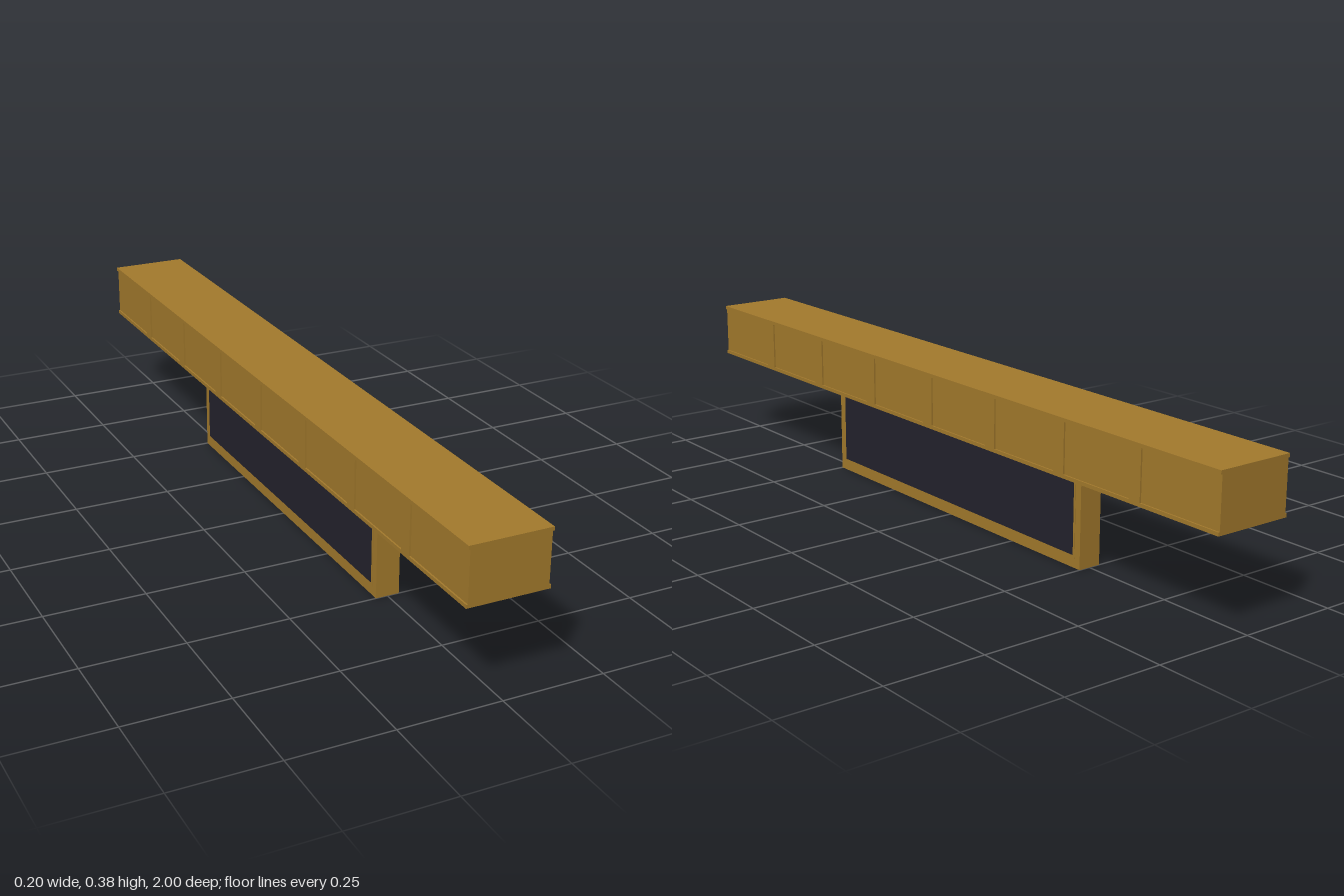
import * as THREE from 'three';

export function createModel() {
  const model = new THREE.Group();
  const brass = new THREE.MeshStandardMaterial({ color: 0xa37a2c });
  brass.name = 'brass';
  const dark = new THREE.MeshStandardMaterial({ color: 0x23222d });
  dark.name = 'dark panel';

  // Box given by its size and centre
  const box = (name, material, w, h, d, x, y, z, parent = model) => {
    const mesh = new THREE.Mesh(new THREE.BoxGeometry(w, h, d), material);
    mesh.name = name;
    mesh.position.set(x, y, z);
    parent.add(mesh);
    return mesh;
  };

  // Beam: recessed core between a top and a bottom flange
  const beam = new THREE.Group();
  beam.name = 'beam';
  model.add(beam);
  box('beamCore', brass, 0.192, 0.122, 2, 0, 0.31, 0, beam);
  box('topFlange', brass, 0.2, 0.009, 2, 0, 0.3755, 0, beam);
  box('bottomFlange', brass, 0.2, 0.009, 2, 0, 0.2445, 0, beam);

  // Seven ribs divide each side of the beam into eight bays
  for (const side of [-1, 1]) {
    for (let i = -3; i <= 3; i++) {
      box('rib', brass, 0.004, 0.122, 0.035, side * 0.098, 0.31, i * 0.25, beam);
    }
  }

  // Hanging sign body with a raised rim and a dark panel on both sides
  box('signBody', brass, 0.06, 0.24, 1, 0, 0.12, 0);
  for (const side of [-1, 1]) {
    box('signRim', brass, 0.002, 0.196, 0.964, side * 0.03, 0.121, 0);
    box('signPanel', dark, 0.002, 0.182, 0.952, side * 0.031, 0.122, 0);
  }

  return model;
}
